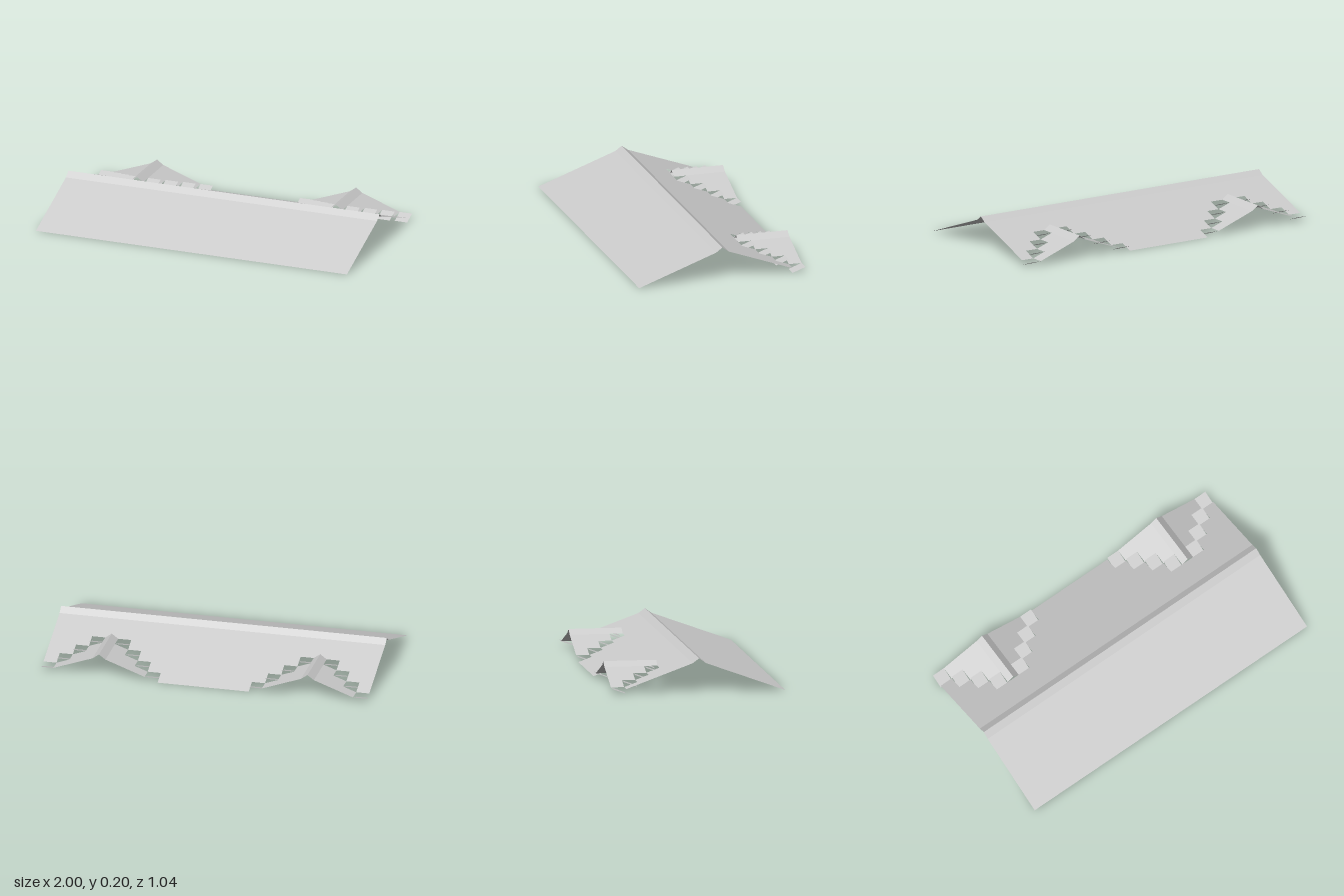
import * as THREE from 'three';
import { mergeGeometries } from 'three/addons/utils/BufferGeometryUtils.js';

const TILE = 0.08, RISE = 0.0291;      // one roof tile and its height gain
const HALF = TILE / 2;
const DEPTH = 0.52, DORMER_X = 0.64, DORMER_HALF = 0.36, ROWS = 4;

const material = new THREE.MeshStandardMaterial({
  color: 0xcccccc, flatShading: true, side: THREE.DoubleSide,
});

// Upward-facing sheet over a rectangle, its height given by h(x, z)
function sheet(x0, x1, z0, z1, h) {
  const g = new THREE.BufferGeometry();
  const corners = [[x0, z0], [x0, z1], [x1, z1], [x1, z0]];
  g.setAttribute('position', new THREE.Float32BufferAttribute(
    corners.flatMap(([x, z]) => [x, h(x, z), z]), 3));
  g.setIndex([0, 1, 2, 0, 2, 3]);
  const flat = g.toNonIndexed();
  flat.computeVertexNormals();
  return flat;
}

function part(name, sheets) {
  const mesh = new THREE.Mesh(mergeGeometries(sheets), material);
  mesh.name = name;
  return mesh;
}

// Pitch of a slope and of the steeper ridge cap, by distance from the ridge line
const slope = (d, half) => (half - d) / TILE * RISE;
const cap = (d, tiles) => (tiles + 1 - d / HALF) * RISE;

const mainSlope = (x, z) => slope(Math.abs(z), DEPTH);
const mainCap = (x, z) => cap(Math.abs(z), 6);

// Each row k of tiles counts inwards from the back eave
const rows = Array.from({ length: ROWS }, (_, k) => ({
  k,
  back: -DEPTH + k * TILE,
  front: -DEPTH + (k + 1) * TILE,
  half: DORMER_HALF - k * TILE,
}));

function createDormer(side) {
  const dormer = new THREE.Group();
  dormer.name = side > 0 ? 'leftDormer' : 'rightDormer';
  const slopes = [], ridge = [], valley = [];
  const roofH = (x) => slope(Math.abs(x), DORMER_HALF);
  const capH = (x) => cap(Math.abs(x), ROWS);

  for (const { k, back, front, half } of rows) {
    const inner = half - TILE;
    // valley tiles tilt up towards the back
    const valleyH = (x, z) => (k + (front - z) / TILE) * RISE;
    valley.push(sheet(-half, -inner, back, front, valleyH));
    valley.push(sheet(inner, half, back, front, valleyH));
    if (inner > HALF + 0.001) {
      slopes.push(sheet(-inner, -HALF, back, front, roofH));
      slopes.push(sheet(HALF, inner, back, front, roofH));
    }
  }
  const capFront = -DEPTH + ROWS * TILE;
  ridge.push(sheet(-HALF, 0, -DEPTH, capFront, capH));
  ridge.push(sheet(0, HALF, -DEPTH, capFront, capH));

  dormer.add(part('dormerSlopes', slopes), part('dormerRidge', ridge), part('valleyTiles', valley));
  dormer.position.x = side * DORMER_X;
  return dormer;
}

export function createModel() {
  const roof = new THREE.Group();
  roof.name = 'roof';

  // Front slope and ridge cap
  roof.add(part('frontSlope', [sheet(-1, 1, HALF, DEPTH, mainSlope)]));
  roof.add(part('mainRidge', [
    sheet(-1, 1, 0, HALF, mainCap),
    sheet(-1, 1, -HALF, 0, mainCap),
  ]));

  // Back slope, stepped around the dormers
  const backSlope = [sheet(-1, 1, -DEPTH + ROWS * TILE, -HALF, mainSlope)];
  for (const { back, front, half } of rows) {
    const mid = DORMER_X - half, outer = DORMER_X + half;
    backSlope.push(sheet(-mid, mid, back, front, mainSlope));
    if (outer < 0.999) {
      backSlope.push(sheet(outer, 1, back, front, mainSlope));
      backSlope.push(sheet(-1, -outer, back, front, mainSlope));
    }
  }
  roof.add(part('backSlope', backSlope));

  for (const side of [-1, 1]) roof.add(createDormer(side));
  return roof;
}
